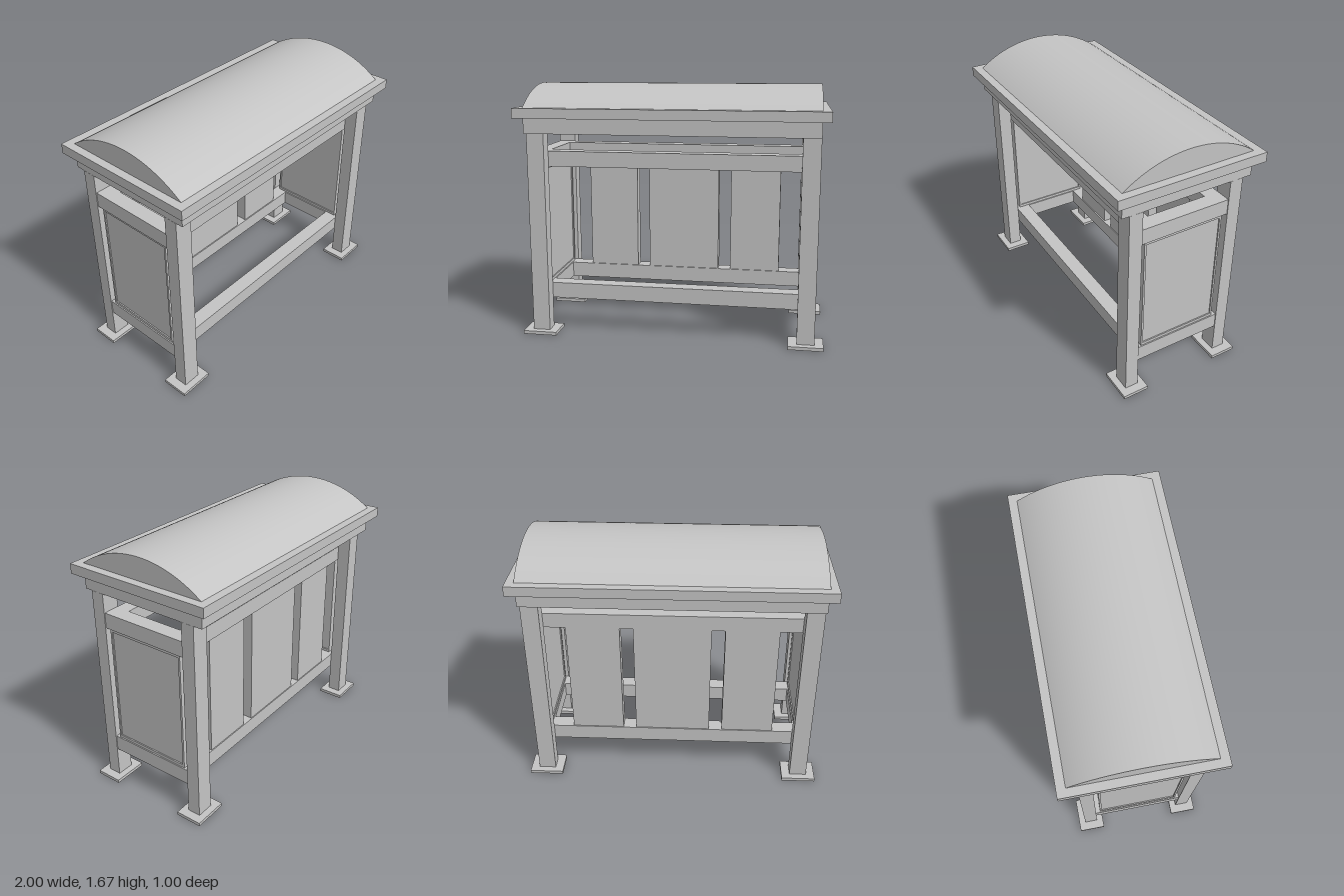
import * as THREE from 'three';
import { toCreasedNormals } from 'three/addons/utils/BufferGeometryUtils.js';

const grey = new THREE.MeshStandardMaterial({ color: 0xc4c4c4 });
grey.name = 'plainGrey';

export function createModel() {
  const model = new THREE.Group();
  model.name = 'shelter';

  const add = (name, geometry) => {
    const mesh = new THREE.Mesh(geometry, grey);
    mesh.name = name;
    model.add(mesh);
    return mesh;
  };
  // Box given by its lower and upper limits on each axis
  const box = (name, x0, x1, y0, y1, z0, z1) =>
    add(name, new THREE.BoxGeometry(x1 - x0, y1 - y0, z1 - z0))
      .position.set((x0 + x1) / 2, (y0 + y1) / 2, (z0 + z1) / 2);

  // Posts on flat feet
  const postX = 0.884;
  for (const sx of [-1, 1]) {
    for (const z of [0.35, -0.34]) {
      const x = sx * postX;
      box('foot', x - 0.114, x + 0.114, 0, 0.022, z - 0.088, z + 0.088);
      box('post', x - 0.057, x + 0.057, 0.022, 1.358, z - 0.044, z + 0.044);
    }
  }

  // Two rings of square rails held between the front and back posts
  const outX = 0.936, railW = 0.1, zFront = 0.306, zBack = -0.296;
  for (const [ring, y0, y1] of [['lower', 0.225, 0.33], ['upper', 1.13, 1.232]]) {
    box(ring + 'FrontRail', -outX, outX, y0, y1, zFront - railW, zFront);
    box(ring + 'BackRail', -outX, outX, y0, y1, zBack, zBack + railW);
    for (const s of [-1, 1]) {
      const xa = s * outX, xb = s * (outX - railW);
      box(ring + 'SideRail', Math.min(xa, xb), Math.max(xa, xb), y0, y1,
        zBack + railW, zFront - railW);
    }
  }

  // Back wall of three thick boards
  for (const [x0, x1] of [[-0.688, -0.34], [-0.252, 0.252], [0.34, 0.688]]) {
    box('backPanel', x0, x1, 0.33, 1.13, -0.289, -0.204);
  }

  // Framed panels closing the two ends
  const z0 = -0.265, z1 = 0.28, y0 = 0.33, y1 = 1.13, rim = 0.013, rimY = 0.02;
  const frameX = 0.886, frameHalf = 0.042;
  const frame = new THREE.Shape([
    new THREE.Vector2(-z1, y0), new THREE.Vector2(-z0, y0),
    new THREE.Vector2(-z0, y1), new THREE.Vector2(-z1, y1),
  ]);
  frame.holes.push(new THREE.Path([
    new THREE.Vector2(-z1 + rim, y0 + rimY), new THREE.Vector2(-z1 + rim, y1 - rimY),
    new THREE.Vector2(-z0 - rim, y1 - rimY), new THREE.Vector2(-z0 - rim, y0 + rimY),
  ]));
  const frameGeometry = new THREE.ExtrudeGeometry(frame, { depth: frameHalf * 2, bevelEnabled: false });
  frameGeometry.translate(0, 0, -frameHalf).rotateY(Math.PI / 2);
  for (const s of [-1, 1]) {
    const x = s * frameX, half = frameHalf - 0.008;
    add('sidePanelFrame', frameGeometry).position.x = x;
    box('sidePanel', x - half, x + half, y0 + rimY, y1 - rimY, z0 + rim, z1 - rim);
  }

  // Roof base: fascia and overhanging slab
  const roofX = 0.94, roofZ = 0.444, slabTop = 1.523;
  box('fascia', -roofX, roofX, 1.358, 1.459, -roofZ, roofZ);
  box('roofSlab', -0.993, 0.993, 1.459, slabTop, -0.5, 0.5);

  // Barrel roof: a circular segment run along x
  const rise = 0.146;
  const radius = (roofZ * roofZ + rise * rise) / (2 * rise);
  const half = Math.asin(roofZ / radius);
  const arch = new THREE.Shape();
  arch.absarc(0, slabTop + rise - radius, radius, Math.PI / 2 - half, Math.PI / 2 + half, false);
  arch.closePath();
  const roof = new THREE.ExtrudeGeometry(arch, { depth: roofX * 2, bevelEnabled: false, curveSegments: 40 });
  roof.translate(0, 0, -roofX).rotateY(Math.PI / 2);
  add('barrelRoof', toCreasedNormals(roof, 0.3));

  return model;
}
